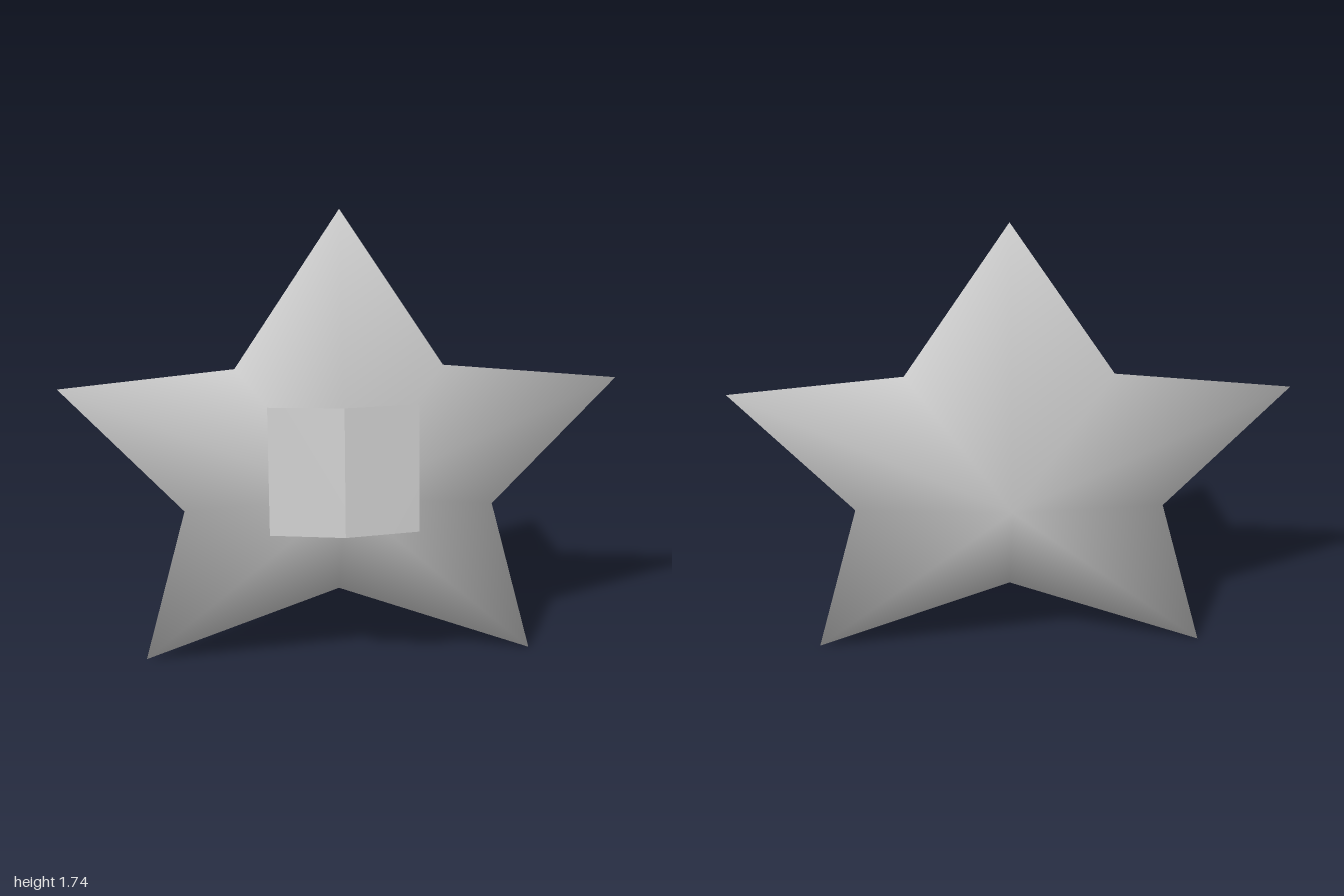
import * as THREE from 'three';

const grey = new THREE.MeshStandardMaterial({ color: 0xcccccc, side: THREE.DoubleSide });
grey.name = 'light grey';

function surface(name, points, index) {
  const geometry = new THREE.BufferGeometry();
  geometry.setAttribute('position', new THREE.Float32BufferAttribute(points.flat(), 3));
  geometry.setIndex(index);
  geometry.computeVertexNormals();
  const mesh = new THREE.Mesh(geometry, grey);
  mesh.name = name;
  return mesh;
}

// Five-pointed star: a zigzag rim joined to a front and a back apex, smooth all over
function starBody() {
  const half = [[0.37, 1.17], [0.995, 1.108], [0.567, 0.62], [0.735, 0]];
  const rim = [
    [0, 1.74], ...half, [0, 0.284],
    ...half.slice().reverse().map(([x, y]) => [-x, y]), // mirrored side
  ];
  const n = rim.length;
  const points = rim.map(([x, y]) => [x, y, -0.013]);
  points.push([0, 0.82, 0.333], [0, 0.82, -0.36]);
  const index = [];
  for (let i = 0; i < n; i++) {
    const next = (i + 1) % n;
    index.push(n, next, i); // front
    index.push(n + 1, i, next); // back
  }
  return surface('starBody', points, index);
}

// One half of the folded sheet standing in front of the star
function sheetHalf(name, side) {
  const points = [
    [0, 0.68, 0.36], [side * 0.26, 0.672, 0.31],
    [side * 0.26, 1.12, 0.237], [0, 1.13, 0.285],
  ];
  return surface(name, points, side > 0 ? [0, 1, 2, 0, 2, 3] : [0, 2, 1, 0, 3, 2]);
}

export function createModel() {
  const model = new THREE.Group();
  model.name = 'star';
  const sheet = new THREE.Group();
  sheet.name = 'frontSheet';
  sheet.add(sheetHalf('sheetLeft', 1), sheetHalf('sheetRight', -1));
  model.add(starBody(), sheet);
  return model;
}
